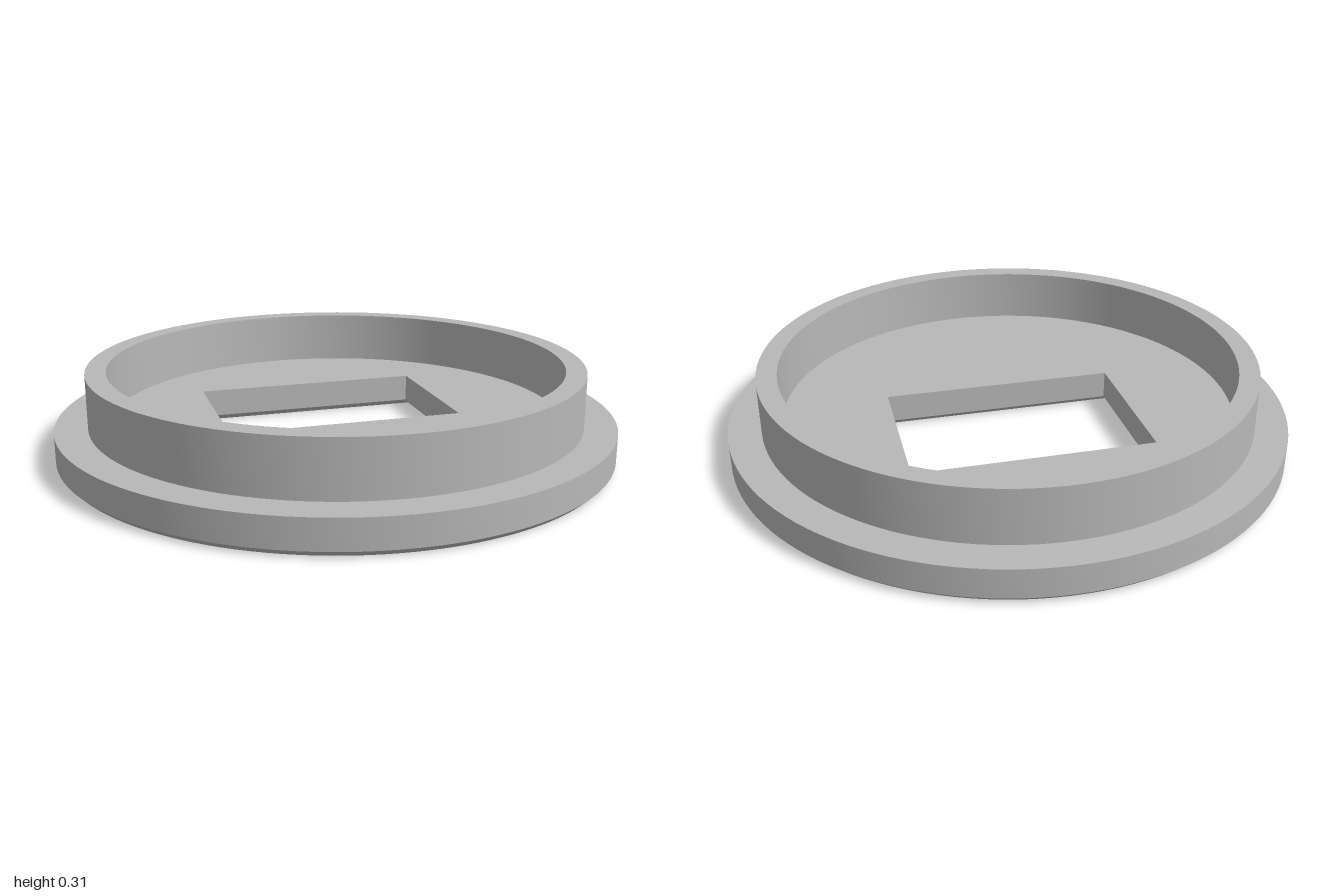
import * as THREE from 'three';
import { toCreasedNormals } from 'three/addons/utils/BufferGeometryUtils.js';

const SEGMENTS = 128;
const CHAMFER = 0.02;
const BASE_TOP = 0.122;
const RIM_TOP = 0.315;
const RIM_OUTER = 0.885;
const RIM_INNER = 0.813;

// Window corners in (x, z), grown outwards by g
const windowCorners = (g) => [
  [-0.423 - g, -0.405 - g],
  [0.423 + g, -0.405 - g],
  [0.423 + g, 0.148 + g],
  [-0.423 - g, 0.148 + g],
];

// Flat disc with the window cut out, facing up (side = 1) or down (side = -1)
function windowedDisc(radius, y, grow, side) {
  const shape = new THREE.Shape().absarc(0, 0, radius, 0, Math.PI * 2);
  const corners = windowCorners(grow).map(([x, z]) => new THREE.Vector2(x, -side * z));
  shape.holes.push(new THREE.Path(corners).closePath());
  return new THREE.ShapeGeometry(shape, SEGMENTS)
    .rotateX(-side * Math.PI / 2)
    .translate(0, y, 0);
}

// Inward-facing walls of the window, flared at the bottom
function windowWalls() {
  const levels = [[0, CHAMFER], [CHAMFER, 0], [BASE_TOP, 0]];
  const positions = [];
  for (let l = 0; l < levels.length - 1; l++) {
    const [y0, g0] = levels[l];
    const [y1, g1] = levels[l + 1];
    const low = windowCorners(g0).map(([x, z]) => [x, y0, z]);
    const high = windowCorners(g1).map(([x, z]) => [x, y1, z]);
    for (let i = 0; i < 4; i++) {
      const j = (i + 1) % 4;
      positions.push(...low[i], ...low[j], ...high[j], ...low[i], ...high[j], ...high[i]);
    }
  }
  const geometry = new THREE.BufferGeometry();
  geometry.setAttribute('position', new THREE.Float32BufferAttribute(positions, 3));
  geometry.computeVertexNormals();
  return geometry;
}

// Turned surface with sharp edges between its bands
function turned(profile) {
  const points = profile.map(([r, y]) => new THREE.Vector2(r, y));
  return toCreasedNormals(new THREE.LatheGeometry(points, SEGMENTS), 0.4);
}

export function createModel() {
  const group = new THREE.Group();
  const grey = new THREE.MeshStandardMaterial({ color: 0xb8b8b8 });
  grey.name = 'grey';

  const add = (name, geometry) => {
    const mesh = new THREE.Mesh(geometry, grey);
    mesh.name = name;
    group.add(mesh);
  };

  // Wide flange with a chamfered bottom edge
  add('flange', turned([
    [1 - CHAMFER, 0], [1, CHAMFER], [1, BASE_TOP], [RIM_OUTER, BASE_TOP],
  ]));

  // Raised ring around the floor
  add('rim', turned([
    [RIM_OUTER, BASE_TOP], [RIM_OUTER, RIM_TOP], [RIM_INNER, RIM_TOP], [RIM_INNER, BASE_TOP],
  ]));

  // Floor, underside and rectangular opening
  add('floor', windowedDisc(RIM_INNER, BASE_TOP, 0, 1));
  add('underside', windowedDisc(1 - CHAMFER, 0, CHAMFER, -1));
  add('windowWalls', windowWalls());

  return group;
}
